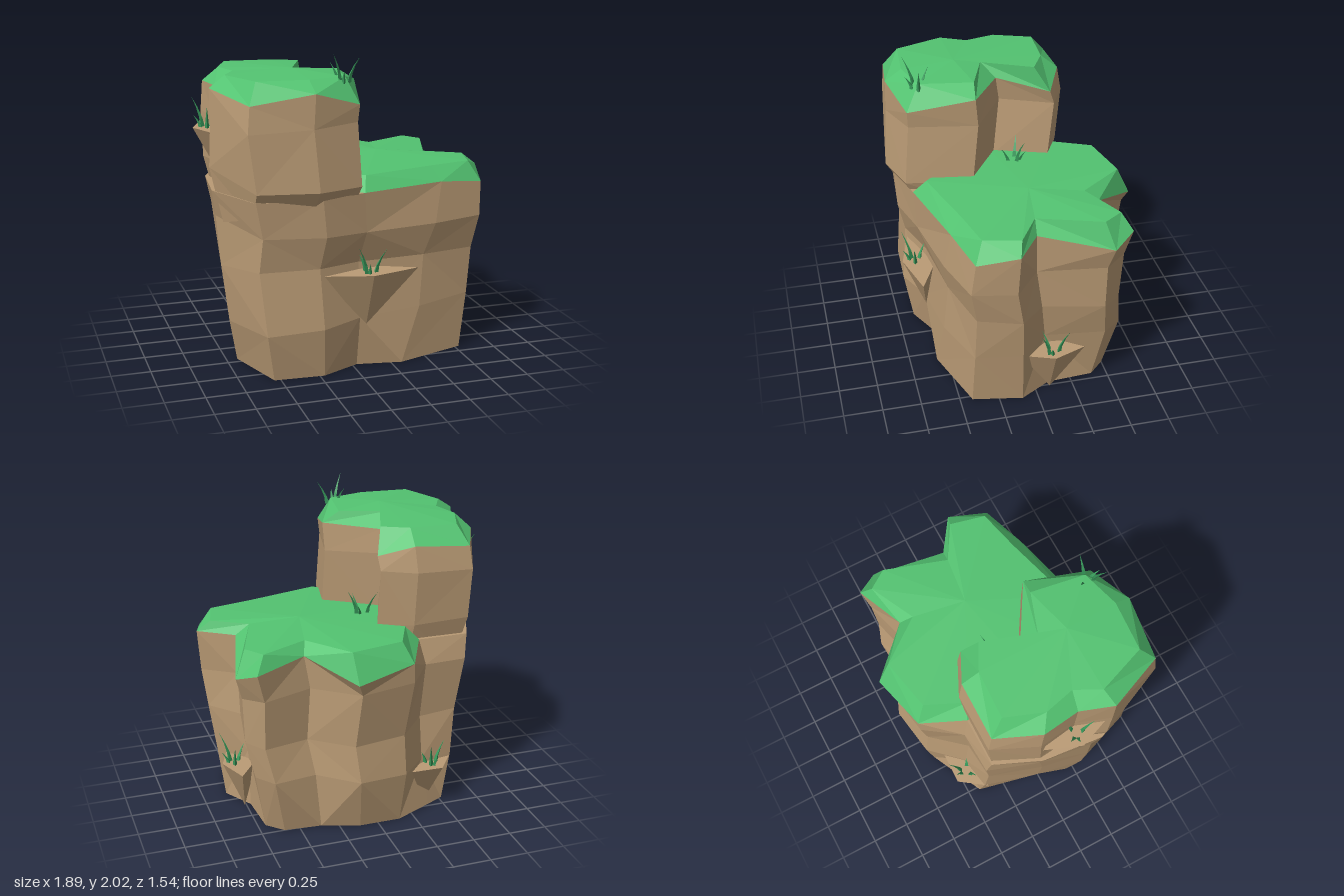
import * as THREE from 'three';
import { ConvexGeometry } from 'three/addons/geometries/ConvexGeometry.js';

const V = (x, y, z) => new THREE.Vector3(x, y, z);

// Ring of [x, z] or [x, z, y] points at a default height
const ring = (y, pts) => pts.map(([x, z, h = y]) => V(x, h, z));

// Repeatable offset that keeps the rock faces irregular
const wobble = (i, k) => Math.sin(i * 12.9 + k * 78.2);
const roughen = (pts, k) => pts.map((p, i) => p.add(V(wobble(i, k) * .02, wobble(i, k + 1) * .05, wobble(i, k + 2) * .025)));

// Ring pulled towards a centre by a fixed distance and set at a new height
const inset = (pts, centre, d, y) => pts.map(p => {
  const dir = centre.clone().sub(p).setY(0).normalize();
  return p.clone().addScaledVector(dir, d).setY(y);
});

// Faceted skin through rings of equal length, closed by fans to optional end centres
function loft(rings, bottom, top) {
  const pos = [];
  const tri = (...v) => v.forEach(p => pos.push(p.x, p.y, p.z));
  const n = rings[0].length;
  for (let r = 0; r < rings.length - 1; r++) {
    for (let i = 0; i < n; i++) {
      const j = (i + 1) % n;
      const a = rings[r][i], b = rings[r][j], c = rings[r + 1][i], d = rings[r + 1][j];
      if ((i + r) % 2) { tri(a, b, d); tri(a, d, c); }
      else { tri(a, b, c); tri(b, d, c); }
    }
  }
  const first = rings[0], last = rings[rings.length - 1];
  for (let i = 0; i < n; i++) {
    const j = (i + 1) % n;
    if (bottom) tri(first[j], first[i], bottom);
    if (top) tri(last[i], last[j], top);
  }
  const g = new THREE.BufferGeometry();
  g.setAttribute('position', new THREE.Float32BufferAttribute(pos, 3));
  g.computeVertexNormals();
  return g;
}

// Three-sided blade that bends forward along +z
function blade(height, lean) {
  const g = new THREE.ConeGeometry(.017, height, 3, 3).toNonIndexed();
  g.translate(0, height / 2, 0);
  const p = g.attributes.position;
  for (let i = 0; i < p.count; i++) {
    p.setZ(i, p.getZ(i) + lean * (Math.max(p.getY(i), 0) / height) ** 1.6);
  }
  g.computeVertexNormals();
  return g;
}

export function createModel() {
  const model = new THREE.Group();
  const material = (name, color) => {
    const m = new THREE.MeshStandardMaterial({ color, flatShading: true });
    m.name = name;
    return m;
  };
  const rock = material('rock', 0xba9b75);
  const grass = material('grass', 0x53c371);
  const bladeGreen = material('bladeGreen', 0x37985a);
  const add = (name, geometry, mat, parent = model) => {
    const m = new THREE.Mesh(geometry, mat);
    m.name = name;
    parent.add(m);
    return m;
  };

  // Lower cliff: outlines run from the front, round by +x, to the back
  const foot = ring(0, [[-.54, .62], [-.22, .64], [.03, .52], [.32, .57], [.78, .42], [.84, .1], [.72, -.1], [.7, -.4],
    [.6, -.5], [.36, -.52], [.12, -.6], [-.15, -.6], [-.4, -.48], [-.52, -.42], [-.6, 0], [-.68, .2]]);
  const rim = ring(1.16, [[-.66, .7], [-.25, .72], [.04, .64], [.6, .5], [.91, .41, 1.12], [.98, .15, 1.18],
    [.76, 0, 1.18], [.88, -.47, 1.08], [.78, -.61, 1.14], [.45, -.48, 1.18], [.19, -.77, 1.06],
    [-.2, -.68, 1.12], [-.34, -.4], [-.67, -.4], [-.8, -.1], [-.84, .3]]);
  const between = (t, y, k) => roughen(foot.map((p, i) => p.clone().lerp(rim[i], t).setY(y)), k);
  add('lowerCliff', loft([foot, between(.5, .34, 1), between(.6, .66, 4), between(.75, .95, 7), rim],
    V(.05, 0, 0), V(.05, 1.14, 0)), rock);

  // Tower rising from the left half of the cliff
  const towerRim = ring(1.78, [[-.69, .7, 1.74], [-.3, .74, 1.8], [0, .65, 1.71], [.1, .23, 1.8], [-.23, .03],
    [-.09, -.3, 1.71], [-.3, -.4], [-.67, -.4, 1.75], [-.8, -.12], [-.77, .12], [-.85, .33, 1.8]]);
  const towerCentre = V(-.35, 0, .18);
  const towerRing = (y, sx, sz, k) => roughen(towerRim.map(p =>
    p.clone().sub(towerCentre).multiply(V(sx, 0, sz)).add(towerCentre).setY(y)), k);
  add('tower', loft([towerRing(1, .88, .9, 2), towerRing(1.26, .97, 1.01, 5), towerRing(1.57, 1.02, 1.01, 8), towerRim]), rock);

  // Grass caps: sloping rim, then a gently domed top
  add('towerGrass', loft([towerRim, inset(towerRim, towerCentre, .11, 1.87)], null, V(-.32, 1.895, .29)), grass);
  const plateauRim = [...rim.slice(2, 13), V(-.35, 1.16, .1), V(-.2, 1.16, .4)];
  add('plateauGrass', loft([plateauRim, inset(plateauRim, V(.3, 0, -.05), .09, 1.25)], null, V(.35, 1.275, -.05)), grass);

  // Tuft: blades fan out around its base, each shorter than the last
  const addTuft = (name, x, y, z, yaw) => {
    const tuft = new THREE.Group();
    tuft.name = name;
    tuft.position.set(x, y, z);
    tuft.rotation.y = yaw;
    for (let i = 0; i < 4; i++) {
      const turn = i * 2.3;
      const b = add('grassBlade', blade(.19 - i * .035, .085 - i * .012), bladeGreen, tuft);
      b.position.set(Math.sin(turn) * .035, -.01, Math.cos(turn) * .035);
      b.rotation.y = turn;
    }
    model.add(tuft);
  };

  // Jutting ledge: flat triangular top facing outwards, tapering down into the rock, with a tuft on it
  const addLedge = (name, x, y, z, yaw, width, depth, drop) => {
    const g = new ConvexGeometry([V(-width / 2, 0, 0), V(width / 2, 0, 0), V(0, 0, depth),
      V(0, 0, -.15), V(0, -drop, -.06)]);
    const ledge = add(name, g, rock);
    ledge.position.set(x, y, z);
    ledge.rotation.y = yaw;
    addTuft(name + 'Tuft', x, y, z, yaw - .9);
  };
  addLedge('frontLedge', .07, .655, .65, 0, .64, .085, .36);
  addLedge('rightLedge', .82, .33, -.1, Math.PI / 2, .42, .08, .33);
  addLedge('backLedge', -.42, .3, -.47, 3.6, .38, .1, .3);
  addLedge('leftLedge', -.82, 1.52, .1, -Math.PI / 2, .46, .09, .28);
  addTuft('plateauTuft', -.07, 1.25, -.05, 2);
  addTuft('towerTuft', -.08, 1.84, .56, -.8);
  return model;
}
